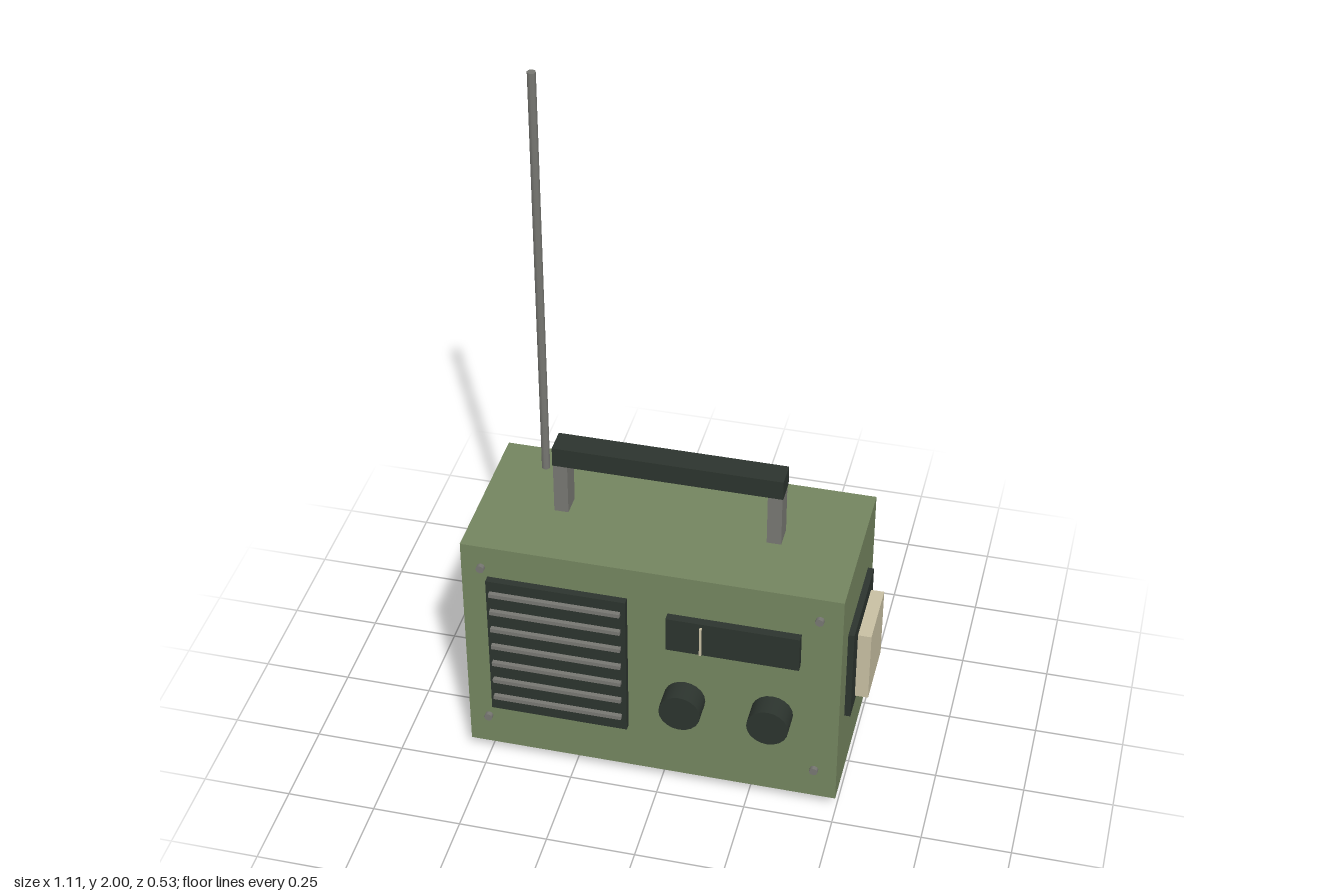
import * as THREE from 'three';

const material = (name, color) => {
  const m = new THREE.MeshStandardMaterial({ color });
  m.name = name;
  return m;
};

export function createModel() {
  const model = new THREE.Group();
  model.name = 'portableRadio';
  const green = material('olive green', 0x74855f);
  const dark = material('charcoal', 0x2c342e);
  const metal = material('grey metal', 0x777772);
  const cream = material('cream', 0xc8bfa2);

  const add = (name, geometry, mat, x, y, z) => {
    const mesh = new THREE.Mesh(geometry, mat);
    mesh.name = name;
    mesh.position.set(x, y, z);
    model.add(mesh);
    return mesh;
  };
  // Box given by its extents on each axis
  const box = (name, mat, [x0, x1], [y0, y1], [z0, z1]) =>
    add(name, new THREE.BoxGeometry(x1 - x0, y1 - y0, z1 - z0), mat,
      (x0 + x1) / 2, (y0 + y1) / 2, (z0 + z1) / 2);
  // Cylinder lying along z
  const disc = (name, mat, radius, sides, x, y, z0, z1) =>
    add(name, new THREE.CylinderGeometry(radius, radius, z1 - z0, sides).rotateX(Math.PI / 2),
      mat, x, y, (z0 + z1) / 2);

  // Case and feet
  box('body', green, [-0.555, 0.498], [0.04, 0.75], [-0.267, 0.198]);
  for (const x of [-0.447, 0.39]) {
    box('foot', dark, [x - 0.055, x + 0.055], [0, 0.04], [-0.205, 0.138]);
  }

  // Speaker grille with slats
  box('speakerPanel', dark, [-0.482, -0.092], [0.19, 0.65], [0.198, 0.219]);
  for (let i = 0; i < 7; i++) {
    const y = 0.245 + i * 0.0617;
    box('speakerSlat', metal, [-0.47, -0.104], [y - 0.006, y + 0.006], [0.224, 0.237]);
  }

  // Tuning window and needle
  box('tuningWindow', dark, [0.02, 0.387], [0.512, 0.62], [0.198, 0.222]);
  box('tuningNeedle', cream, [0.115, 0.121], [0.52, 0.612], [0.226, 0.234]);

  // Knobs
  for (const x of [0.068, 0.313]) disc('knob', dark, 0.058, 20, x, 0.325, 0.198, 0.265);

  // Corner screws
  for (const x of [-0.495, 0.437]) {
    for (const y of [0.15, 0.69]) disc('screw', metal, 0.012, 8, x, y, 0.209, 0.222);
  }

  // Carrying handle
  for (const x of [-0.327, 0.266]) {
    box('handlePost', metal, [x - 0.02, x + 0.02], [0.75, 0.905], [-0.066, -0.002]);
  }
  box('handleBar', dark, [-0.348, 0.288], [0.905, 0.963], [-0.072, 0]);

  // Antenna
  add('antenna', new THREE.CylinderGeometry(0.012, 0.012, 1.25, 8), metal, -0.422, 1.375, -0.183);

  // Side panel with cream block
  box('sidePanel', dark, [0.498, 0.515], [0.275, 0.567], [-0.181, 0.111]);
  box('sideBlock', cream, [0.517, 0.554], [0.31, 0.53], [-0.133, 0.063]);

  return model;
}
